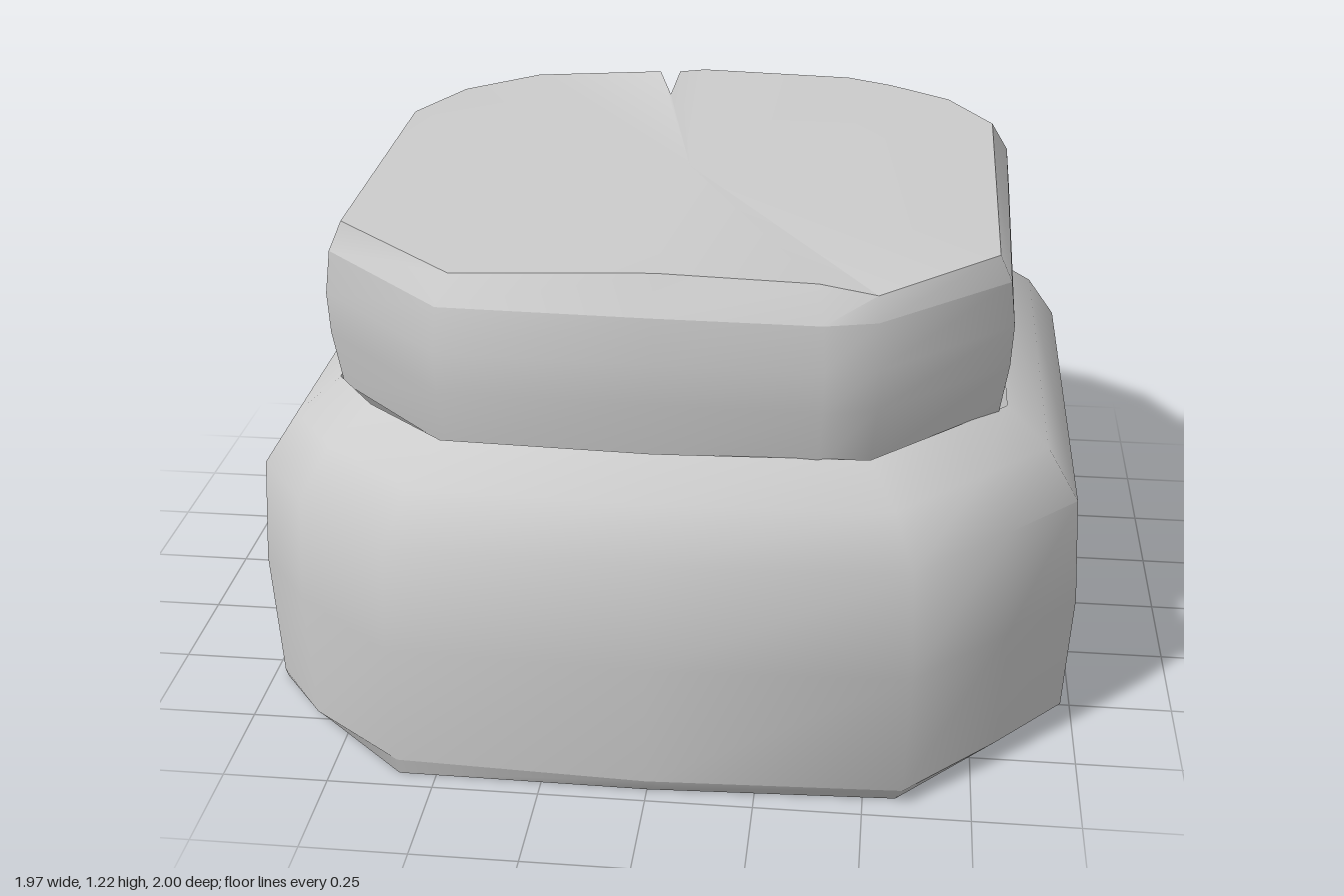
import * as THREE from 'three';
import { toCreasedNormals } from 'three/addons/utils/BufferGeometryUtils.js';

// Base outline, counterclockwise from above: x, z, height of the chipped bottom edge, scale of the underside
const BASE = [
  [0.985, 0.58, 0.05, 0.94], [0.985, -0.57, 0.08, 0.95], [0.8, -0.79, 0.05, 0.97],
  [0.58, -0.97, 0.03, 0.98], [0.45, -1.0, 0.03, 0.98], [0, -0.995, 0.02, 0.985],
  [-0.6, -0.985, 0.04, 0.95], [-0.82, -0.79, 0.08, 0.93], [-0.985, -0.6, 0.02, 0.98],
  [-0.985, 0.58, 0.02, 0.98], [-0.85, 0.76, 0.02, 0.97], [-0.6, 0.97, 0.04, 0.98],
  [0, 0.995, 0.04, 0.96], [0.6, 0.97, 0.04, 0.96], [0.82, 0.75, 0.04, 0.95],
];

// Neck outline: x, z of the wall, then x, y, z of the top edge
const NECK = [
  [0.8, 0.51, 0.76, 1.18, 0.48], [0.82, -0.46, 0.765, 1.195, -0.45],
  [0.68, -0.65, 0.65, 1.2, -0.64], [0.5, -0.77, 0.49, 1.2, -0.76],
  [0.38, -0.815, 0.37, 1.205, -0.805], [-0.04, -0.825, -0.04, 1.215, -0.81],
  [-0.09, -0.81, -0.11, 1.21, -0.8],
  [-0.125, -0.75, -0.11, 1.215, -0.56], // crack
  [-0.165, -0.805, -0.165, 1.21, -0.795],
  [-0.52, -0.785, -0.51, 1.2, -0.76], [-0.7, -0.6, -0.69, 1.2, -0.6],
  [-0.815, -0.4, -0.785, 1.2, -0.38], [-0.815, 0.48, -0.77, 1.2, 0.47],
  [-0.49, 0.795, -0.46, 1.19, 0.74], [0, 0.81, 0, 1.21, 0.745],
  [0.38, 0.815, 0.36, 1.2, 0.745], [0.5, 0.785, 0.49, 1.18, 0.75],
];
const CRACK = 7;

const ring = (outline, scale, y) => outline.map(([x, z]) => [x * scale, y, z * scale]);

// Skin a stack of rings from bottom to top, with optional flat caps
function loft(name, rings, material, { bottom, top } = {}) {
  const pos = [];
  const tri = (a, b, c) => pos.push(...a, ...b, ...c);
  const n = rings[0].length;
  for (let i = 0; i < n; i++) {
    const j = (i + 1) % n;
    for (let k = 0; k < rings.length - 1; k++) {
      const lo = rings[k], hi = rings[k + 1];
      tri(lo[i], lo[j], hi[j]);
      tri(lo[i], hi[j], hi[i]);
    }
    const last = rings[rings.length - 1];
    if (top) tri(top, last[i], last[j]);
    if (bottom) tri(bottom, rings[0][j], rings[0][i]);
  }
  const geometry = new THREE.BufferGeometry();
  geometry.setAttribute('position', new THREE.Float32BufferAttribute(pos, 3));
  const mesh = new THREE.Mesh(toCreasedNormals(geometry, 0.9), material);
  mesh.name = name;
  return mesh;
}

export function createModel() {
  const group = new THREE.Group();
  group.name = 'stonePost';
  const stone = new THREE.MeshStandardMaterial({ color: 0xcccccc, side: THREE.DoubleSide });

  // Underside with chipped edges
  const edge = BASE.map(([x, z, h]) => [x * 0.985, h, z * 0.985]);
  const sole = BASE.map(([x, z, , s]) => [x * s, 0, z * s]);
  group.add(loft('underside', [sole, edge], stone, { bottom: [0, 0, 0] }));

  // Bulging base with rounded shoulder
  const baseRings = [[1, 0.35], [0.985, 0.61], [0.91, 0.725], [0.81, 0.8]].map(([s, y]) => ring(BASE, s, y));
  group.add(loft('base', [edge, ...baseRings], stone));

  // Neck wall, its crack narrowing towards the shoulder
  const neckRings = [[0.97, 0.78, 0.1], [0.995, 0.92, 0.35], [1, 1.02, 0.6], [0.985, 1.125, 1]].map(([s, y, open]) => {
    const r = ring(NECK, s, y);
    const [x, , z] = r[CRACK];
    r[CRACK] = [x, y, THREE.MathUtils.lerp(-0.81 * s, z, open)];
    for (const i of [CRACK - 1, CRACK + 1]) r[i][0] = THREE.MathUtils.lerp(x, r[i][0], open);
    return r;
  });
  group.add(loft('neck', neckRings, stone));

  // Worn rim and top face
  const rim = NECK.map(([, , x, y, z]) => [x, y, z]);
  group.add(loft('top', [neckRings[3], rim], stone, { top: [0, 1.205, 0] }));

  return group;
}
